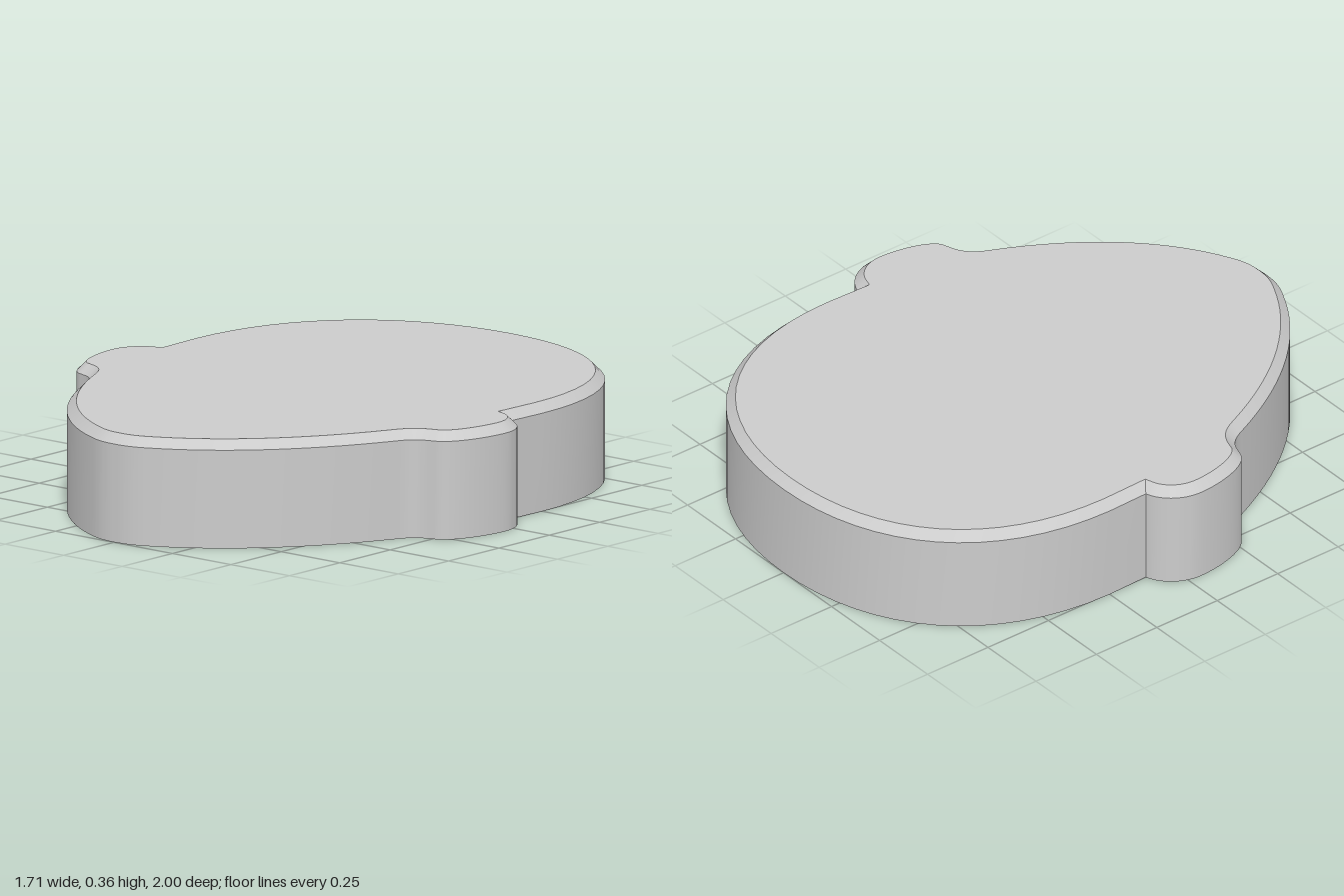
import * as THREE from 'three';
import { toCreasedNormals } from 'three/addons/utils/BufferGeometryUtils.js';

const WALL_TOP = 0.326, TOP = 0.357, INSET = 0.031;

// Head outline seen from above, as (x, -z), counter-clockwise
function headOutline() {
  const half = new THREE.Path();
  half.moveTo(0, 1);
  half.bezierCurveTo(0.45, 1, 0.755, 0.72, 0.755, 0.25); // skull
  half.lineTo(0.75, 0.097);
  half.bezierCurveTo(0.80, 0.085, 0.855, 0.03, 0.855, -0.05); // ear
  half.bezierCurveTo(0.855, -0.13, 0.825, -0.26, 0.765, -0.285);
  half.bezierCurveTo(0.72, -0.30, 0.69, -0.30, 0.66, -0.37); // ear lobe into cheek
  half.bezierCurveTo(0.52, -0.68, 0.33, -0.87, 0.13, -0.965); // jaw
  half.bezierCurveTo(0.08, -0.99, 0.05, -0.997, 0, -0.997); // chin
  const right = half.getPoints(16);
  const left = right.slice(1, -1).reverse().map((p) => new THREE.Vector2(-p.x, p.y));
  return [...right, ...left].reverse();
}

// Mitred inward offset of a counter-clockwise loop
function inset(loop, d) {
  const n = loop.length;
  const normal = (a, b) => new THREE.Vector2(a.y - b.y, b.x - a.x).normalize();
  return loop.map((p, i) => {
    const n1 = normal(loop[(i + n - 1) % n], p);
    const n2 = normal(p, loop[(i + 1) % n]);
    const k = d / Math.max(0.4, 1 + n1.dot(n2));
    return p.clone().addScaledVector(n1.add(n2), k);
  });
}

// Closed band between two matching loops at two heights
function band(lower, y0, upper, y1) {
  const n = lower.length, pos = [], idx = [];
  lower.forEach((p, i) => {
    pos.push(p.x, y0, -p.y, upper[i].x, y1, -upper[i].y);
    const a = 2 * i, b = 2 * ((i + 1) % n);
    idx.push(a, b, b + 1, a, b + 1, a + 1);
  });
  const g = new THREE.BufferGeometry();
  g.setAttribute('position', new THREE.Float32BufferAttribute(pos, 3));
  g.setIndex(idx);
  return toCreasedNormals(g, 0.6);
}

export function createModel() {
  const group = new THREE.Group();
  group.name = 'headShapedLid';
  const material = new THREE.MeshStandardMaterial({ color: 0xcccccc, side: THREE.DoubleSide });
  const add = (name, geometry) => {
    const mesh = new THREE.Mesh(geometry, material);
    mesh.name = name;
    group.add(mesh);
  };

  const outer = headOutline();
  const inner = inset(outer, INSET);

  // Thin shell, open underneath
  add('sideWall', band(outer, 0, outer, WALL_TOP));
  add('bevel', band(outer, WALL_TOP, inner, TOP));
  const lid = new THREE.ShapeGeometry(new THREE.Shape(inner));
  lid.rotateX(-Math.PI / 2).translate(0, TOP, 0);
  add('topFace', lid);
  return group;
}
